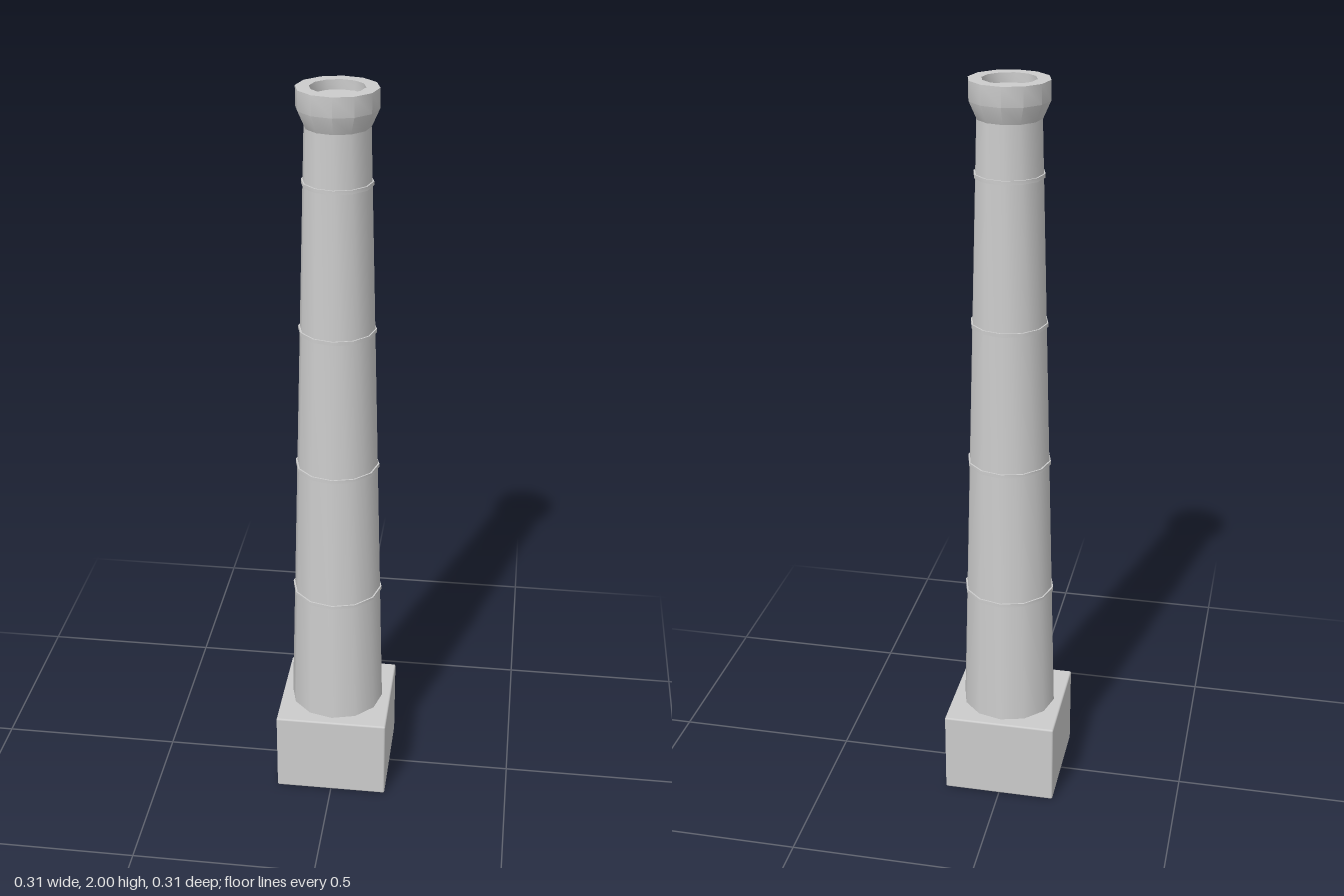
import * as THREE from 'three';
import { toCreasedNormals } from 'three/addons/utils/BufferGeometryUtils.js';
import { RoundedBoxGeometry } from 'three/addons/geometries/RoundedBoxGeometry.js';

const SIDES = 12;
const BASE_TOP = 0.235, SHAFT_TOP = 1.905;
const BOTTOM_RADIUS = 0.13, TOP_RADIUS = 0.083;

export function createModel() {
  const group = new THREE.Group();
  const concrete = new THREE.MeshStandardMaterial({ color: 0xcccccc });
  concrete.name = 'concrete grey';

  const add = (name, geometry, y = 0) => {
    const mesh = new THREE.Mesh(geometry, concrete);
    mesh.name = name;
    mesh.position.y = y;
    group.add(mesh);
  };
  // Turned twelve-sided part from [radius, height] pairs, listed bottom to top
  const turned = (profile) => toCreasedNormals(
    new THREE.LatheGeometry(profile.map(([r, y]) => new THREE.Vector2(r, y)), SIDES), 0.6);
  const shaftRadius = (y) => THREE.MathUtils.mapLinear(
    y, BASE_TOP, SHAFT_TOP, BOTTOM_RADIUS, TOP_RADIUS);

  // Square plinth with slightly softened edges
  add('plinth', new RoundedBoxGeometry(0.31, BASE_TOP, 0.31, 2, 0.005), BASE_TOP / 2);

  // Tapering shaft
  add('shaft', turned([[BOTTOM_RADIUS, BASE_TOP - 0.005], [TOP_RADIUS, SHAFT_TOP]]));

  // Thin hoops around the shaft
  [0.6, 0.985, 1.375, 1.765].forEach((y, i) => {
    const r = shaftRadius(y), h = 0.005;
    add(`hoop${i + 1}`, turned([
      [r - 0.003, y - h], [r + 0.004, y - h], [r + 0.004, y + h], [r - 0.003, y + h],
    ]));
  });

  // Flared crown with a flat rim and a shallow recessed mouth
  add('crown', turned([
    [TOP_RADIUS, SHAFT_TOP], [0.103, 1.95], [0.103, 2],
    [0.069, 2], [0.069, 1.975], [0, 1.975],
  ]));

  return group;
}
